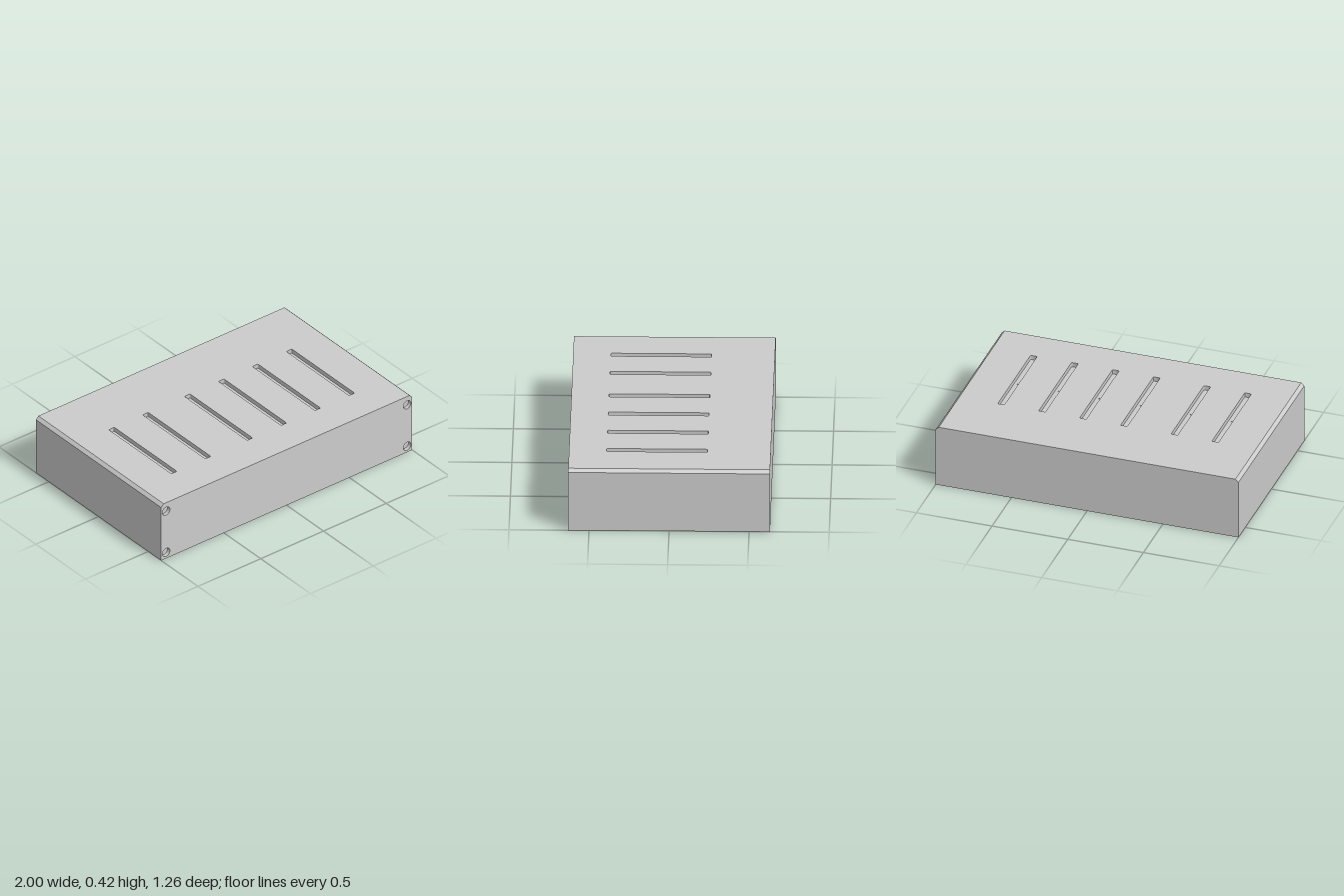
import * as THREE from 'three';
import { toCreasedNormals } from 'three/addons/utils/BufferGeometryUtils.js';

const W = 1, H = 0.418, D = 0.63, CHAMFER = 0.02;
const material = new THREE.MeshStandardMaterial({ color: 0xcccccc });

function addMesh(parent, name, geometry) {
  const mesh = new THREE.Mesh(geometry, material);
  mesh.name = name;
  parent.add(mesh);
  return mesh;
}

// Wall along a list of 2D points; counter-clockwise points face outward
function wall(points, z0, z1) {
  const pos = [];
  for (let i = 0; i < points.length - 1; i++) {
    const a = points[i], b = points[i + 1];
    pos.push(a.x, a.y, z0, b.x, b.y, z0, b.x, b.y, z1);
    pos.push(a.x, a.y, z0, b.x, b.y, z1, a.x, a.y, z1);
  }
  const geometry = new THREE.BufferGeometry();
  geometry.setAttribute('position', new THREE.Float32BufferAttribute(pos, 3));
  geometry.computeVertexNormals();
  return toCreasedNormals(geometry, 0.6);
}

// Regular polygon outline, counter-clockwise
function ring(x, y, r, sides, start = 0) {
  return Array.from({ length: sides }, (_, i) => {
    const t = start + (i / sides) * Math.PI * 2;
    return new THREE.Vector2(x + r * Math.cos(t), y + r * Math.sin(t));
  });
}

// Slot outline with slightly rounded corners, counter-clockwise
function slotOutline(x, y, w, h, r) {
  const points = [];
  [[1, 1], [-1, 1], [-1, -1], [1, -1]].forEach(([sx, sy], corner) => {
    for (let i = 0; i <= 4; i++) {
      const t = (corner + i / 4) * Math.PI / 2;
      points.push(new THREE.Vector2(
        x + sx * (w / 2 - r) + r * Math.cos(t),
        y + sy * (h / 2 - r) + r * Math.sin(t)));
    }
  });
  return points;
}

function face(outline, holes = []) {
  const shape = new THREE.Shape(outline);
  shape.holes = holes.map((h) => new THREE.Path(h));
  return new THREE.ShapeGeometry(shape);
}

// Recess behind a hole: inward-facing wall and floor
function addPocket(parent, name, outline, z, depth, floorHoles = []) {
  const loop = [...outline, outline[0]].reverse();
  addMesh(parent, name + 'Wall', wall(loop, z - depth, z));
  addMesh(parent, name + 'Floor', face(outline, floorHoles)).position.z = z - depth;
}

export function createModel() {
  const model = new THREE.Group();
  model.name = 'slottedBox';

  // Chamfered end profile, from the top left round to the top right
  const profile = [
    [-W + CHAMFER, H], [-W, H - CHAMFER], [-W, 0],
    [W, 0], [W, H - CHAMFER], [W - CHAMFER, H],
  ].map(([x, y]) => new THREE.Vector2(x, y));
  addMesh(model, 'sidesAndBase', wall(profile, -D, D));

  // Plain back
  const back = addMesh(model, 'back', face(profile));
  back.position.z = -D;
  back.rotation.y = Math.PI;

  // Front with a round recess in each corner
  const front = new THREE.Group();
  front.name = 'front';
  front.position.z = D;
  model.add(front);
  const recesses = [];
  for (const x of [-0.96, 0.96]) {
    for (const y of [0.045, 0.355]) recesses.push(ring(x, y, 0.03, 32));
  }
  addMesh(front, 'frontPanel', face(profile, recesses));
  recesses.forEach((r) => addPocket(front, 'cornerRecess', r, 0, 0.025));

  // Top with six long slots, each with a tiny pit in its floor
  const top = new THREE.Group();
  top.name = 'top';
  top.position.y = H;
  top.rotation.x = -Math.PI / 2;
  model.add(top);
  const slotX = [-0.71, -0.44, -0.107, 0.164, 0.434, 0.705];
  const slots = slotX.map((x) => slotOutline(x, -0.08, 0.044, 0.63, 0.006));
  const edge = W - CHAMFER;
  const topOutline = [[-edge, -D], [edge, -D], [edge, D], [-edge, D]]
    .map(([x, y]) => new THREE.Vector2(x, y));
  addMesh(top, 'topPanel', face(topOutline, slots));
  slots.forEach((slot, i) => {
    const pit = ring(slotX[i], -0.08, 0.006, 3, Math.PI);
    addPocket(top, 'slot', slot, 0, 0.03, [pit]);
    addPocket(top, 'slotPit', pit, -0.03, 0.008);
  });

  return model;
}
